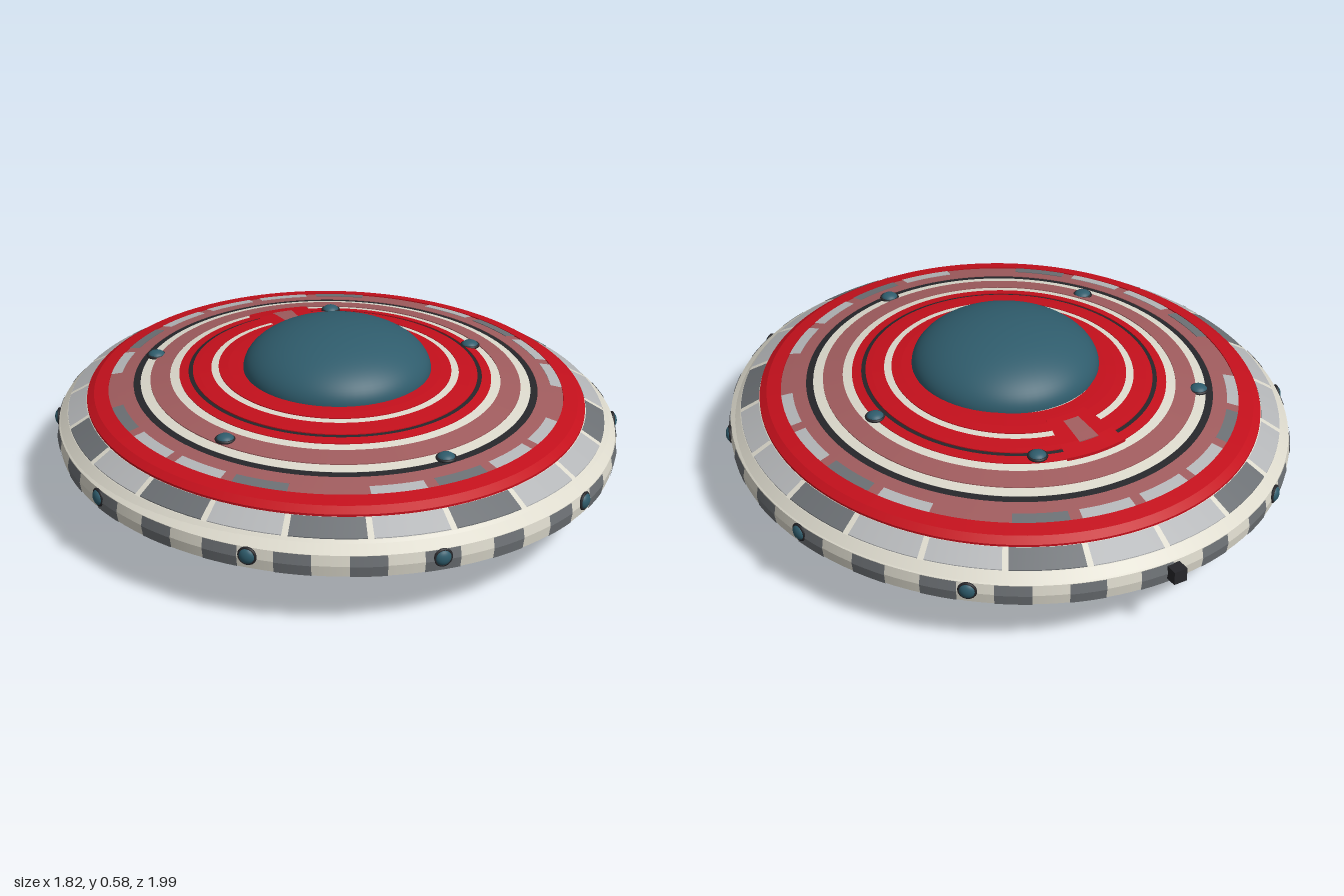
import * as THREE from 'three';

const COLORS = {
  red: 0xc4101c, pink: 0xa05c5e, pale: 0xdcd9cc, dark: 0x26262a, black: 0x0c0c0e,
  steel: 0x6c7074, silver: 0xb4b6b8, glass: 0x2f5c6c, blue: 0x24506c,
};
const mats = {};
for (const k in COLORS) {
  mats[k] = new THREE.MeshStandardMaterial({ color: COLORS[k], side: THREE.DoubleSide });
}
const TAU = Math.PI * 2;

// Hull profiles as [radius, height], inside to outside
const UPPER = [[0, 0.44], [0.33, 0.432], [0.45, 0.418], [0.56, 0.396], [0.70, 0.368],
  [0.785, 0.35], [0.805, 0.335], [0.87, 0.297], [0.895, 0.272]];
const LOWER = [[0, 0.063], [0.2, 0.064], [0.33, 0.07], [0.5, 0.085], [0.62, 0.112], [0.86, 0.184], [0.895, 0.2]];

function heightAt(profile, r) {
  for (let i = 1; i < profile.length; i++) {
    const [r0, y0] = profile[i - 1], [r1, y1] = profile[i];
    if (r <= r1) return y0 + (y1 - y0) * (r - r0) / (r1 - r0);
  }
  return profile[profile.length - 1][1];
}

function add(parent, name, geo, color) {
  const m = new THREE.Mesh(geo, mats[color]);
  m.name = name;
  parent.add(m);
  return m;
}

// Lathe with hard corners: every inner point is doubled
function crisp(pts, a0, len) {
  const out = [];
  pts.forEach(([r, y], i) => {
    out.push(new THREE.Vector2(r, y));
    if (i > 0 && i < pts.length - 1) out.push(new THREE.Vector2(r, y));
  });
  return new THREE.LatheGeometry(out, Math.max(3, Math.round(128 * len / TAU)), a0, len);
}

// Raised plate following the hull between two radii and two angles
function plate(parent, name, color, r0, r1, lift, a0 = 0, len = TAU, under = false) {
  const profile = under ? LOWER : UPPER, s = under ? -1 : 1, n = 3;
  const pts = [[r1, heightAt(profile, r1) - s * 0.008]];
  for (let i = 0; i <= n; i++) {
    const r = r1 + (r0 - r1) * i / n;
    pts.push([r, heightAt(profile, r) + s * lift]);
  }
  pts.push([r0, heightAt(profile, r0) - s * 0.008]);
  if (under) pts.reverse();
  return add(parent, name, crisp(pts, a0, len), color);
}

// Ring of separate plates with narrow gaps
function plateRing(parent, name, r0, r1, lift, count, gap, colorOf, under = false) {
  const step = TAU / count;
  for (let k = 0; k < count; k++) {
    const c = colorOf(k);
    if (c) plate(parent, name, c, r0, r1, lift, Math.PI - (k + 1) * step + gap / 2, step - gap, under);
  }
}

// Glass bead in a dark collar, facing +z before it is turned
function bead(parent, name, radius, flat) {
  const g = new THREE.Group();
  g.name = name;
  add(g, 'lens', new THREE.SphereGeometry(radius, 20, 14), 'glass').scale.z = flat;
  add(g, 'collar', new THREE.TorusGeometry(radius, 0.005, 8, 24), 'dark');
  parent.add(g);
  return g;
}

export function createModel() {
  const model = new THREE.Group();
  model.name = 'saucer';
  const top = new THREE.Group(), base = new THREE.Group();
  top.name = 'upperHull';
  base.name = 'lowerHull';
  top.scale.z = 1.065;
  top.position.z = 0.012;
  base.scale.z = 1.07;
  base.position.z = 0.018;
  model.add(top, base);

  // Pale hull shells
  add(top, 'upperShell', crisp([...UPPER].reverse(), 0, TAU), 'pale');
  add(base, 'lowerShell', crisp(LOWER, 0, TAU), 'dark');

  // Rim band with alternating squares
  add(base, 'rim', crisp([[0.87, 0.187], [0.9, 0.2], [0.905, 0.235], [0.9, 0.268], [0.87, 0.29]], 0, TAU), 'pale');
  for (let k = 0; k < 26; k++) {
    const a = (k * 2 + 1) * TAU / 52;
    add(base, 'rimSquare', crisp([[0.902, 0.2], [0.908, 0.235], [0.902, 0.268]], a, TAU / 52), 'steel');
  }

  // Full rings on the upper hull: inner radius, outer radius, colour, lift
  const topRings = [
    [0.28, 0.376, 'red', 0.005], [0.376, 0.40, 'pale', 0.002], [0.40, 0.46, 'red', 0.004],
    [0.46, 0.474, 'dark', 0.001], [0.474, 0.504, 'red', 0.004], [0.504, 0.534, 'pale', 0.002],
    [0.534, 0.598, 'pink', 0.005], [0.598, 0.63, 'pale', 0.002], [0.63, 0.653, 'dark', 0.001],
    [0.653, 0.735, 'pink', 0.003], [0.735, 0.805, 'red', 0.007],
  ];
  for (const [r0, r1, c, lift] of topRings) plate(top, c + 'Ring', c, r0, r1, lift);

  // Grey plates beside the broad red ring
  const darkOnes = [1, 4, 7, 10, 12, 14, 16, 20];
  plateRing(top, 'outerPlate', 0.808, 0.868, 0.003, 22, 0.022,
    (k) => (darkOnes.includes(k) ? 'steel' : 'silver'));
  plateRing(top, 'innerPlate', 0.698, 0.735, 0.005, 22, 0.05,
    (k) => (k % 5 === 2 ? null : k % 3 === 1 ? 'steel' : 'silver'));

  // Full rings on the underside
  const lowRings = [
    [0.19, 0.33, 'black', 0.004], [0.33, 0.37, 'pale', 0.003], [0.37, 0.41, 'pink', 0.005],
    [0.41, 0.47, 'red', 0.003], [0.47, 0.495, 'pale', 0.002], [0.495, 0.55, 'red', 0.004],
    [0.55, 0.57, 'pale', 0.002], [0.57, 0.64, 'red', 0.003], [0.64, 0.68, 'pink', 0.004],
    [0.73, 0.79, 'pink', 0.005],
  ];
  for (const [r0, r1, c, lift] of lowRings) plate(base, c + 'LowerRing', c, r0, r1, lift, 0, TAU, true);
  plateRing(base, 'lowerOuterPlate', 0.793, 0.87, 0.003, 22, 0.022,
    (k) => (k % 3 === 1 ? 'steel' : 'silver'), true);
  plateRing(base, 'lowerInnerPlate', 0.683, 0.727, 0.003, 22, 0.05,
    (k) => (k % 2 ? 'steel' : 'pink'), true);
  plateRing(base, 'blackVent', 0.43, 0.63, 0.008, 8, 0.17, () => 'black', true);

  // Hatch behind the canopy
  plate(top, 'hatch', 'red', 0.335, 0.51, 0.012, Math.PI - 0.21, 0.42);
  plate(top, 'hatchWindow', 'pink', 0.36, 0.46, 0.015, Math.PI - 0.075, 0.15);

  // Canopy and belly dome
  const canopy = add(model, 'canopy', new THREE.SphereGeometry(1, 64, 24, 0, TAU, 0, Math.PI / 2), 'glass');
  canopy.scale.set(0.305, 0.148, 0.311);
  canopy.position.set(0, 0.434, 0.033);
  const belly = add(model, 'bellyDome',
    new THREE.SphereGeometry(1, 48, 16, 0, TAU, Math.PI / 2, Math.PI / 2), 'blue');
  belly.scale.set(0.207, 0.053, 0.185);
  belly.position.set(0, 0.054, 0.05);
  const seat = add(model, 'bellySeat', new THREE.CylinderGeometry(0.2, 0.2, 0.016, 48), 'dark');
  seat.scale.z = 0.9;
  seat.position.set(0, 0.061, 0.05);

  // Lights around the rim, with a square port at the back
  for (let k = 0; k < 10; k++) {
    if (k === 5) continue;
    const a = (k * 36 - 3.5) * Math.PI / 180;
    const b = bead(model, 'rimLight', 0.025, 0.6);
    b.position.set(0.905 * Math.sin(a), 0.242, 0.018 + 0.967 * Math.cos(a));
    b.rotation.y = Math.atan2(Math.sin(a) / 0.905, Math.cos(a) / 0.967);
  }
  const port = add(model, 'rearPort', new THREE.BoxGeometry(0.045, 0.045, 0.06), 'dark');
  port.position.set(0, 0.238, -0.957);

  // Scattered lights on the upper hull
  for (const [x, z] of [[0.175, -0.46], [-0.49, -0.37], [0.5, -0.01], [-0.487, 0.328], [0.095, 0.672]]) {
    const b = bead(model, 'hullLight', 0.028, 0.6);
    b.position.set(x, heightAt(UPPER, Math.hypot(x, (z - 0.012) / 1.065)) + 0.005, z);
    b.rotation.x = -Math.PI / 2;
  }
  return model;
}
